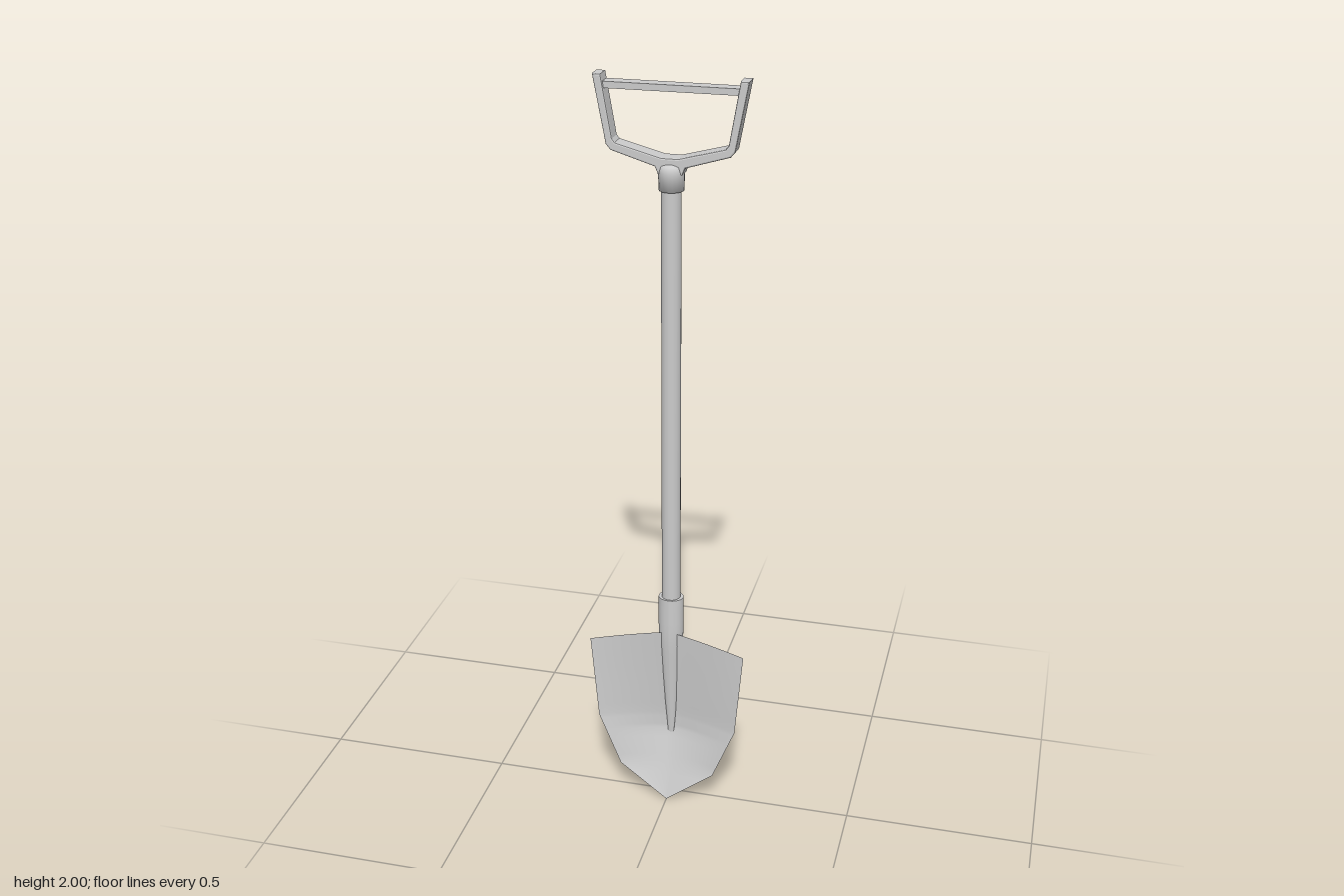
import * as THREE from 'three';

export function createModel() {
  const group = new THREE.Group();
  const grey = new THREE.MeshStandardMaterial({ color: 0xcccccc });
  const thin = new THREE.MeshStandardMaterial({ color: 0xcccccc, side: THREE.DoubleSide });

  function add(name, geometry, material = grey) {
    const mesh = new THREE.Mesh(geometry, material);
    mesh.name = name;
    group.add(mesh);
    return mesh;
  }

  // Moves every vertex of a geometry by a rule
  function reshape(geometry, rule) {
    const pos = geometry.attributes.position;
    const v = new THREE.Vector3();
    for (let i = 0; i < pos.count; i++) {
      rule(v.fromBufferAttribute(pos, i));
      pos.setXYZ(i, v.x, v.y, v.z);
    }
    geometry.computeVertexNormals();
    return geometry;
  }

  // Blade: thin scoop, each key is [half width, height, spine depth]
  const EDGE_Z = 0.046;
  const keys = [
    [0.21, 0.49, 0.012],
    [0.2, 0.37, 0.0],
    [0.19, 0.25, -0.01],
    [0.17, 0.2, -0.01],
    [0.13, 0.1, 0.017],
    [0, 0, EDGE_Z],
  ];
  const spans = keys.length - 1;
  const blade = new THREE.PlaneGeometry(2, spans, 24, spans * 4);
  reshape(blade, (v) => {
    const u = v.x;
    const t = spans / 2 - v.y;
    const i = Math.min(Math.floor(t + 1e-6), spans - 1);
    const [w, y, spine] = keys[i].map((a, k) => THREE.MathUtils.lerp(a, keys[i + 1][k], t - i));
    const lift = 0.03 * (1 - Math.abs(u)) * Math.max(0, 1 - t);
    const bowl = 1 - Math.abs(u) ** 1.5;
    v.set(u * w, y + lift, EDGE_Z + (spine - EDGE_Z) * bowl);
  });
  add('blade', blade, thin);

  // Socket: round at the pole, tapering into a ridge down the blade
  const socket = new THREE.CylinderGeometry(0.032, 0.032, 0.43, 20, 12);
  reshape(socket, (v) => {
    const y = v.y + 0.405;
    const s = THREE.MathUtils.clamp((y - 0.19) / 0.31, 0, 1);
    v.set(
      v.x * THREE.MathUtils.lerp(0.25, 1.05, s),
      y,
      v.z * THREE.MathUtils.lerp(0.1, 0.9, s) - 0.009
    );
  });
  add('socket', socket);

  // Pole
  add('pole', new THREE.CylinderGeometry(0.025, 0.025, 1.18, 16)).position.set(0, 1.17, -0.01);

  // Collar between pole and handle
  const collar = [[0, 1.73], [0.031, 1.73], [0.032, 1.775], [0.028, 1.79], [0, 1.805]];
  add('collar', new THREE.LatheGeometry(collar.map(([x, y]) => new THREE.Vector2(x, y)), 20))
    .position.z = -0.012;

  // Forked handle: half outline mirrored in x
  const outer = [[0.03, 1.77], [0.037, 1.788], [0.146, 1.821], [0.157, 1.834], [0.188, 2]];
  const inner = [[0.167, 2], [0.141, 1.849], [0.134, 1.84], [0.02, 1.81]];
  const half = [...outer, ...inner];
  const outline = [...half, ...half.map(([x, y]) => [-x, y]).reverse()];
  const fork = new THREE.ExtrudeGeometry(
    new THREE.Shape(outline.map(([x, y]) => new THREE.Vector2(x, y))),
    { depth: 0.039, bevelThickness: 0.004, bevelSize: 0.004, bevelOffset: -0.004, bevelSegments: 2 }
  );
  add('handleFork', fork).position.z = -0.037;

  // Flat grip bar across the fork
  add('grip', new THREE.BoxGeometry(0.342, 0.016, 0.035)).position.set(0, 1.974, -0.018);

  return group;
}
